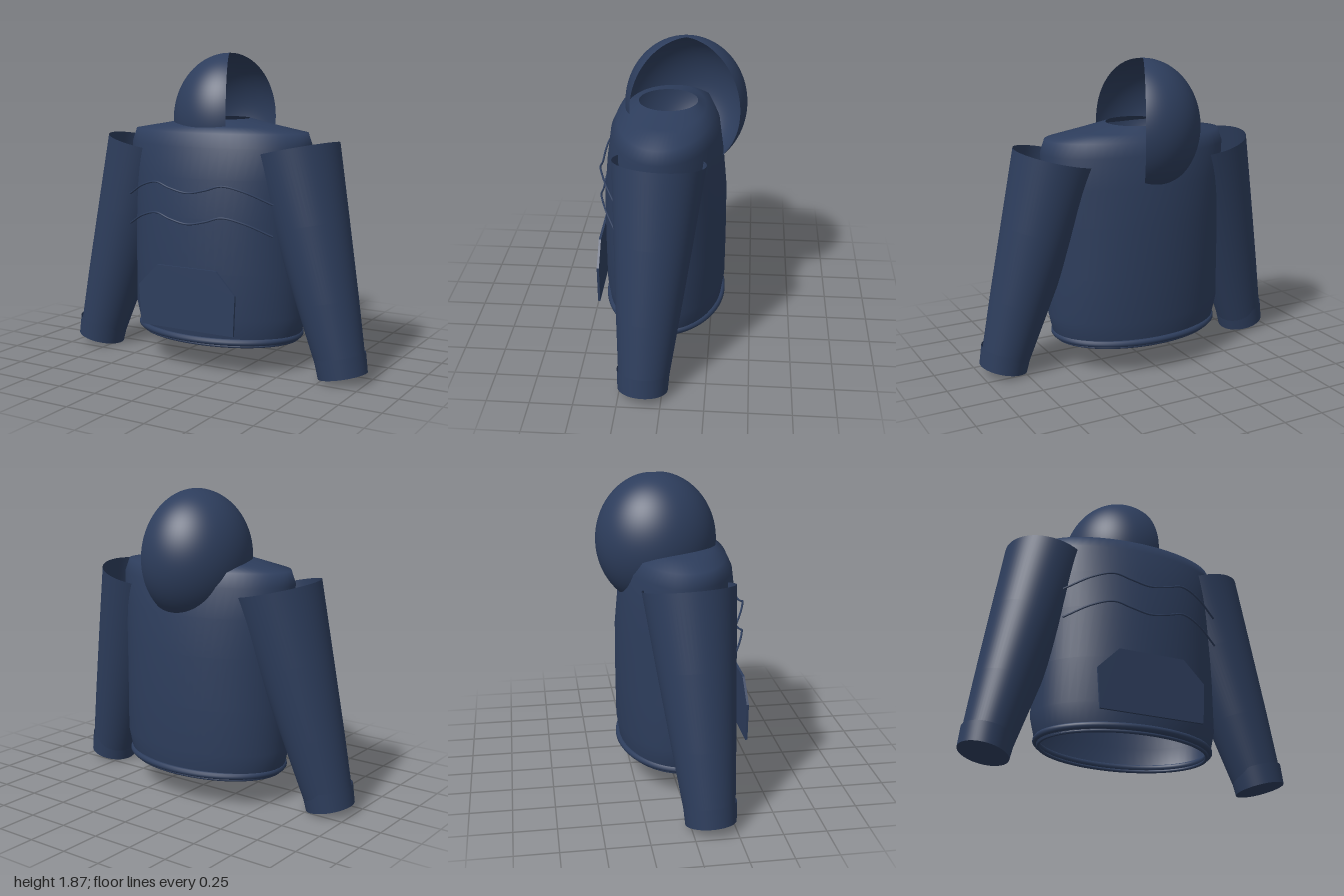
import * as THREE from 'three';

const navy = new THREE.MeshStandardMaterial({ color: 0x2d3d5c, side: THREE.DoubleSide });
navy.name = 'navy fabric';

function part(name, geometry, parent) {
  const mesh = new THREE.Mesh(geometry, navy);
  mesh.name = name;
  parent.add(mesh);
  return mesh;
}

// Skin between elliptical rings [x, y, z, radiusX, radiusZ]; tilt and pitch lean the ring planes.
function loft(rings, tilt = 0, pitch = 0, sides = 64) {
  const pos = [], index = [];
  for (const [x, y, z, rx, rz] of rings) {
    for (let i = 0; i < sides; i++) {
      const a = (i / sides) * Math.PI * 2;
      const u = rx * Math.cos(a), w = rz * Math.sin(a);
      pos.push(x + u * Math.cos(tilt), y + u * Math.sin(tilt) + w * pitch, z + w);
    }
  }
  for (let r = 0; r < rings.length - 1; r++) {
    for (let i = 0; i < sides; i++) {
      const j = (i + 1) % sides;
      const a = r * sides + i, b = r * sides + j, c = a + sides, d = b + sides;
      index.push(a, c, b, b, c, d);
    }
  }
  const g = new THREE.BufferGeometry();
  g.setAttribute('position', new THREE.Float32BufferAttribute(pos, 3));
  g.setIndex(index);
  g.computeVertexNormals();
  return g;
}

// Tube along an ellipse in a level plane
function ellipseTube(y, z, rx, rz, radius) {
  const pts = [];
  for (let i = 0; i < 32; i++) {
    const a = (i / 32) * Math.PI * 2;
    pts.push(new THREE.Vector3(rx * Math.cos(a), y, z + rz * Math.sin(a)));
  }
  return new THREE.TubeGeometry(new THREE.CatmullRomCurve3(pts, true), 96, radius, 10, true);
}

function makeSleeve(side) {
  const sleeve = new THREE.Group();
  sleeve.name = side > 0 ? 'leftSleeve' : 'rightSleeve';
  const tilt = 0.22 * side, pitch = 0.05;
  const ring = (x, y, z, r) => [x * side, y, z, r, r];
  // Open tapering tube, its upper inner part buried in the body
  part('sleeveTube', loft([
    ring(0.505, 1.312, 0.038, 0.265),
    ring(0.625, 0.882, 0.062, 0.224),
    ring(0.745, 0.452, 0.087, 0.182),
    ring(0.857, 0.04, 0.11, 0.14),
  ], tilt, pitch), sleeve);
  part('cuff', loft([
    ring(0.836, 0.145, 0.108, 0.153),
    ring(0.858, 0.03, 0.111, 0.146),
  ], tilt, pitch), sleeve);
  // Closed end of the cuff
  part('cuffEnd', loft([
    ring(0.858, 0.03, 0.111, 0.146),
    ring(0.858, 0.03, 0.111, 0.0001),
  ], tilt, pitch), sleeve);
  return sleeve;
}

export function createModel() {
  const model = new THREE.Group();
  model.name = 'hoodedJacket';

  // Body, open at hem and neck
  const cz = 0.04;
  part('body', loft([
    [0, 0.165, cz, 0.52, 0.348],
    [0, 0.22, cz, 0.54, 0.354],
    [0, 0.33, cz, 0.565, 0.37],
    [0, 0.6, cz, 0.563, 0.372],
    [0, 0.92, cz, 0.565, 0.37],
    [0, 1.15, cz, 0.585, 0.348],
    [0, 1.33, cz, 0.6, 0.323],
    [0, 1.41, cz, 0.575, 0.285],
    [0, 1.445, 0.035, 0.37, 0.232],
    [0, 1.482, 0.025, 0.175, 0.175],
  ]), model);

  // Hem piping and lower band
  part('hemPiping', ellipseTube(0.198, cz, 0.526, 0.356, 0.02), model);
  part('hemBand', ellipseTube(0.172, cz, 0.512, 0.342, 0.01), model);

  // Sleeves
  for (const side of [1, -1]) model.add(makeSleeve(side));

  // Hood: a stretched shell with a wedge left open
  const hood = part('hood', new THREE.SphereGeometry(
    1, 56, 40, Math.PI * 1.35, Math.PI * 1.3, 0, Math.PI * 0.82), model);
  hood.scale.set(0.336, 0.4, 0.36);
  hood.position.set(0, 1.47, -0.08);

  // Wavy chest seams
  for (const [name, y] of [['upperChestSeam', 1.07], ['lowerChestSeam', 0.888]]) {
    const half = [[0.12, 0.022, 0.425], [0.22, 0.05, 0.41], [0.34, 0.022, 0.37], [0.49, -0.052, 0.29]];
    const pts = [
      ...half.slice().reverse().map(([x, dy, z]) => new THREE.Vector3(-x, y + dy, z)),
      new THREE.Vector3(0, y, 0.427),
      ...half.map(([x, dy, z]) => new THREE.Vector3(x, y + dy, z)),
    ];
    part(name, new THREE.TubeGeometry(new THREE.CatmullRomCurve3(pts), 80, 0.006, 8), model);
  }

  // Front pocket plate
  const outline = [[-0.315, 0.26], [0.315, 0.26], [0.326, 0.5], [0.2, 0.632], [-0.2, 0.632], [-0.33, 0.5]];
  const pocket = part('frontPocket', new THREE.ExtrudeGeometry(
    new THREE.Shape(outline.map(([x, y]) => new THREE.Vector2(x, y))),
    { depth: 0.014, bevelEnabled: false }), model);
  pocket.position.z = 0.426;

  return model;
}
